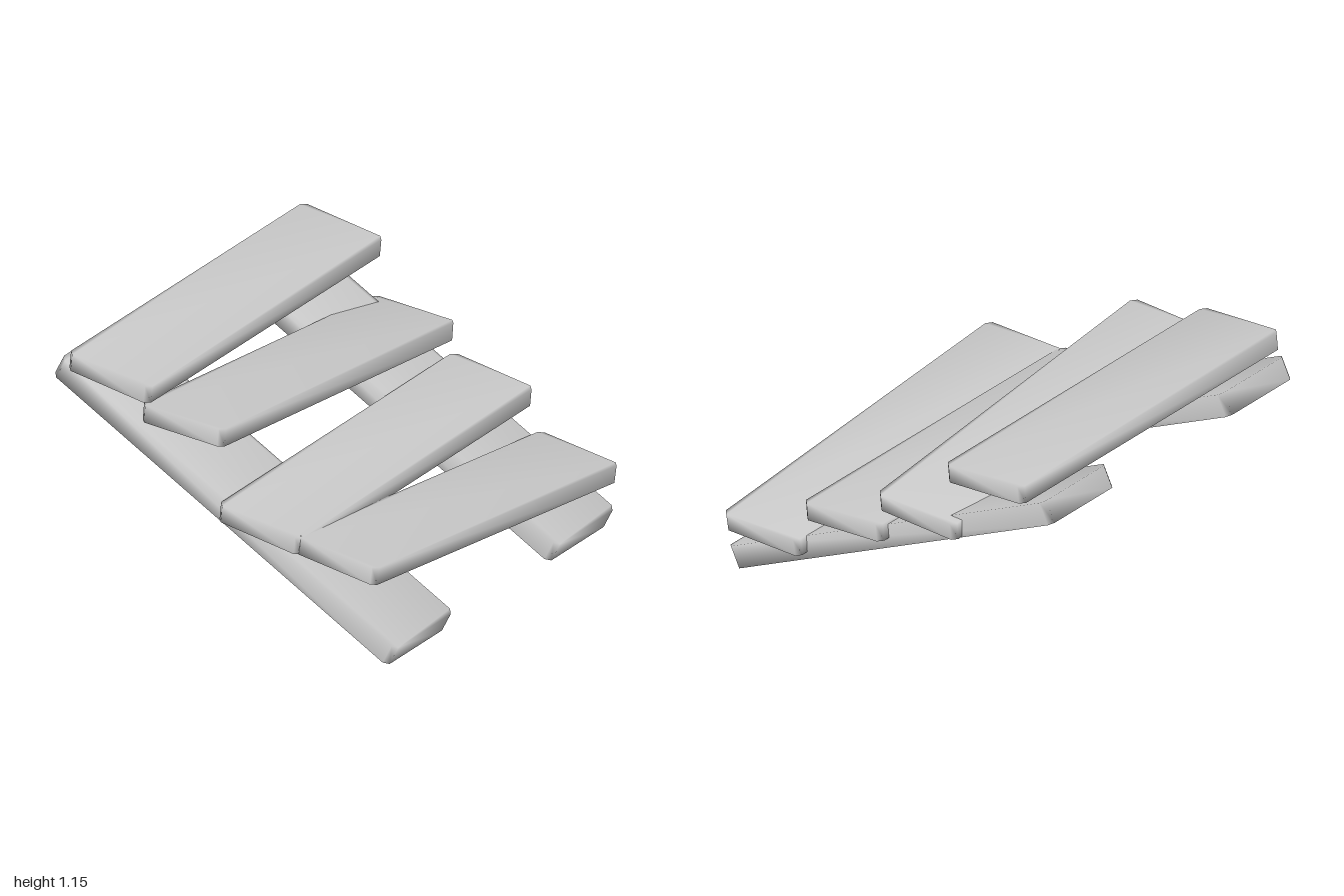
import * as THREE from 'three';
import { mergeVertices } from 'three/addons/utils/BufferGeometryUtils.js';

const material = new THREE.MeshStandardMaterial({ color: 0xcccccc });

// Flat board with clipped corners and softly shaded edges, centred on its origin
function boardGeometry(length, thickness, width, cut = 0.025) {
  const x = length / 2, z = width / 2;
  const shape = new THREE.Shape([
    [-x + cut, -z], [x - cut, -z], [x, -z + cut], [x, z - cut],
    [x - cut, z], [-x + cut, z], [-x, z - cut], [-x, -z + cut],
  ].map(([a, b]) => new THREE.Vector2(a, b)));
  const extruded = new THREE.ExtrudeGeometry(shape, { depth: thickness, bevelEnabled: false });
  extruded.translate(0, 0, -thickness / 2).rotateX(-Math.PI / 2);
  extruded.deleteAttribute('normal');
  extruded.deleteAttribute('uv');
  const geometry = mergeVertices(extruded);
  geometry.computeVertexNormals();
  return geometry;
}

export function createModel() {
  const model = new THREE.Group();
  model.name = 'plankSteps';

  const add = (name, geometry, position, rotation) => {
    const mesh = new THREE.Mesh(geometry, material);
    mesh.name = name;
    mesh.position.set(...position);
    mesh.rotation.set(...rotation);
    model.add(mesh);
  };

  // Two sloping rails, rising to the back
  const rail = boardGeometry(0.475, 0.115, 2.17);
  for (const [name, side] of [['leftRail', 1], ['rightRail', -1]]) {
    add(name, rail, [side * 0.657, 0.54, 0], [0.4636, 0, 0]);
  }

  // Four crooked planks laid across the rails, from back to front
  const plank = boardGeometry(1.91, 0.09, 0.475);
  const planks = [
    { name: 'topPlank', position: [0, 1.084, -0.63], rotation: [0.1, 0, 0] },
    { name: 'upperPlank', position: [0, 0.85, -0.208], rotation: [0, 0, -0.113] },
    { name: 'lowerPlank', position: [0, 0.545, 0.242], rotation: [0.1, 0, 0.005] },
    { name: 'bottomPlank', position: [0, 0.397, 0.716], rotation: [0.06, -0.038, -0.113] },
  ];
  for (const { name, position, rotation } of planks) add(name, plank, position, rotation);

  return model;
}
